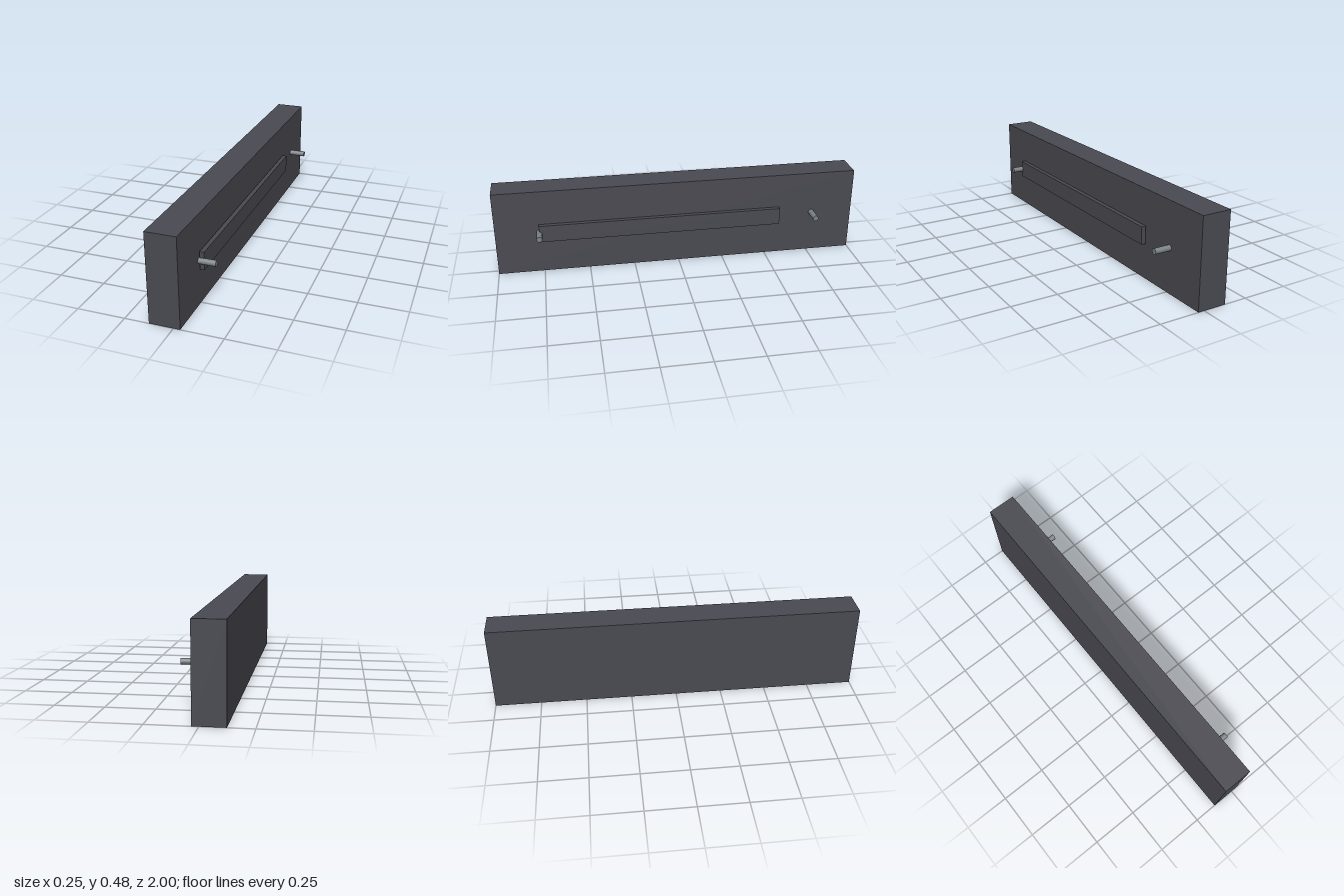
import * as THREE from 'three';

export function createModel() {
  const group = new THREE.Group();
  const dark = new THREE.MeshStandardMaterial({ color: 0x4a4a52 });
  const steel = new THREE.MeshStandardMaterial({ color: 0x7b8285 });

  // Box given by its minimum and maximum corners
  const addBox = (name, [x0, y0, z0], [x1, y1, z1]) => {
    const mesh = new THREE.Mesh(new THREE.BoxGeometry(x1 - x0, y1 - y0, z1 - z0), dark);
    mesh.name = name;
    mesh.position.set((x0 + x1) / 2, (y0 + y1) / 2, (z0 + z1) / 2);
    group.add(mesh);
  };

  // Main slab, and the thin strip standing just off its side
  addBox('slab', [-0.124, 0, -1], [0.034, 0.476, 1]);
  addBox('sideStrip', [0.038, 0.191, -0.572], [0.062, 0.286, 0.764]);

  // Pins sticking out sideways near both ends
  const pinStart = 0.034, pinEnd = 0.124;
  const pinGeometry = new THREE.CylinderGeometry(0.0155, 0.0155, pinEnd - pinStart, 16);
  pinGeometry.rotateZ(-Math.PI / 2);
  for (const [name, z] of [['frontPin', 0.764], ['backPin', -0.764]]) {
    const pin = new THREE.Mesh(pinGeometry, steel);
    pin.name = name;
    pin.position.set((pinStart + pinEnd) / 2, 0.238, z);
    group.add(pin);
  }

  return group;
}
